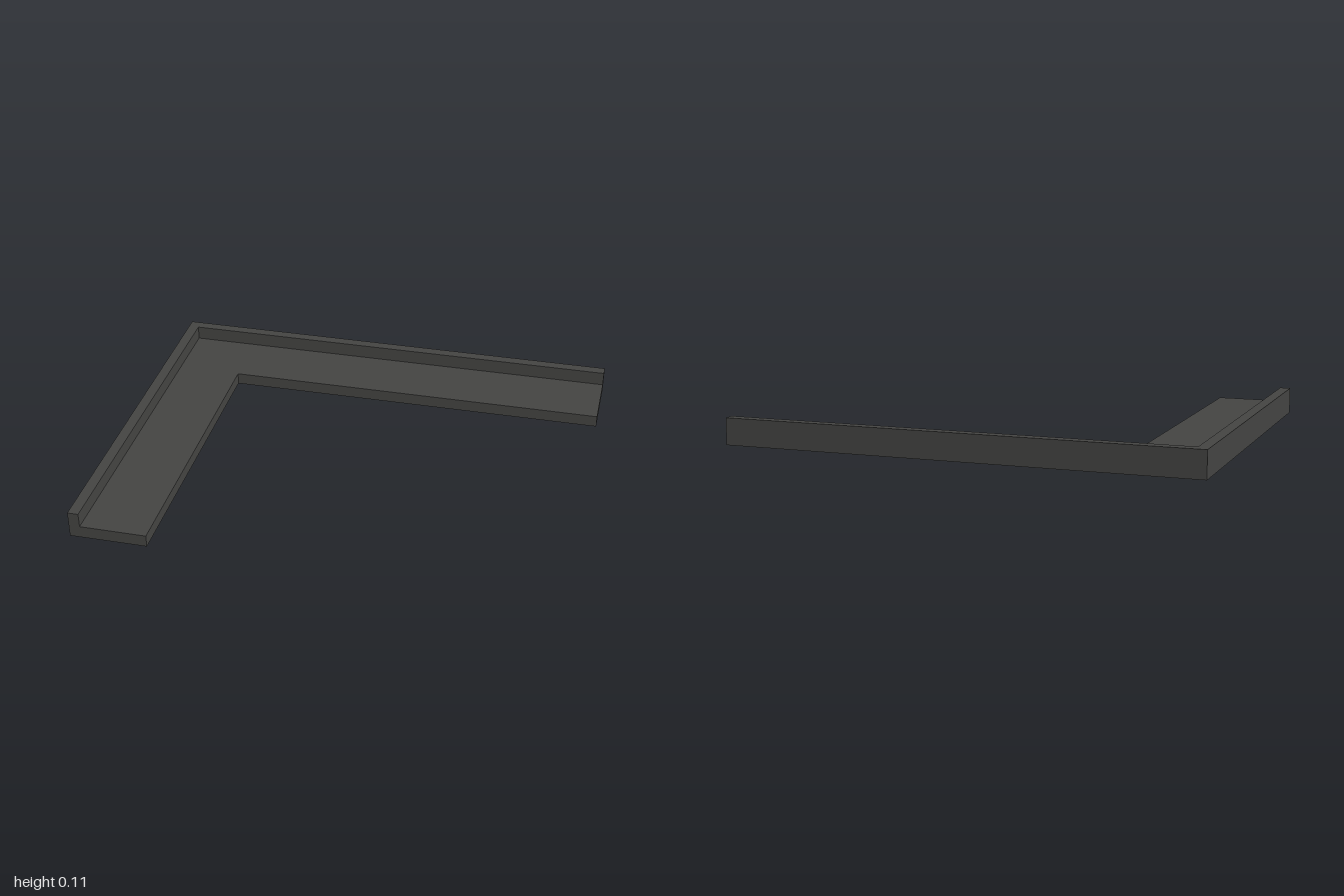
import * as THREE from 'three';

// Cross-section: [distance in from the outer edge, height]
const PROFILE = [[0, 0], [0.327, 0], [0.327, 0.052], [0.046, 0.052], [0.046, 0.113], [0, 0.113]];
const HALF_X = 1, HALF_Z = 0.807;

// Sweeps the cross-section round the mitred corner and caps both ends
function sweepCorner() {
  const stations = [
    (d, h) => [-HALF_X + d, h, HALF_Z],       // front end
    (d, h) => [-HALF_X + d, h, -HALF_Z + d],  // corner mitre
    (d, h) => [HALF_X, h, -HALF_Z + d],       // left end
  ].map((place) => PROFILE.map(([d, h]) => place(d, h)));
  const n = PROFILE.length;
  const pos = [];
  const tri = (a, b, c) => pos.push(...a, ...b, ...c);

  // Long faces of the two legs
  for (let s = 0; s < stations.length - 1; s++) {
    const p = stations[s], q = stations[s + 1];
    for (let i = 0; i < n; i++) {
      const j = (i + 1) % n;
      tri(p[i], q[j], p[j]);
      tri(p[i], q[i], q[j]);
    }
  }
  // End caps
  const first = stations[0], last = stations[stations.length - 1];
  for (let i = 1; i < n - 1; i++) {
    tri(first[0], first[i], first[i + 1]);
    tri(last[0], last[i + 1], last[i]);
  }

  const geometry = new THREE.BufferGeometry();
  geometry.setAttribute('position', new THREE.Float32BufferAttribute(pos, 3));
  geometry.computeVertexNormals();
  return geometry;
}

export function createModel() {
  const model = new THREE.Group();
  model.name = 'cornerLedge';

  // L-shaped ledge with a raised lip along its outer edge
  const material = new THREE.MeshStandardMaterial({ color: 0x444442 });
  const ledge = new THREE.Mesh(sweepCorner(), material);
  ledge.name = 'lippedLedge';
  model.add(ledge);
  return model;
}
